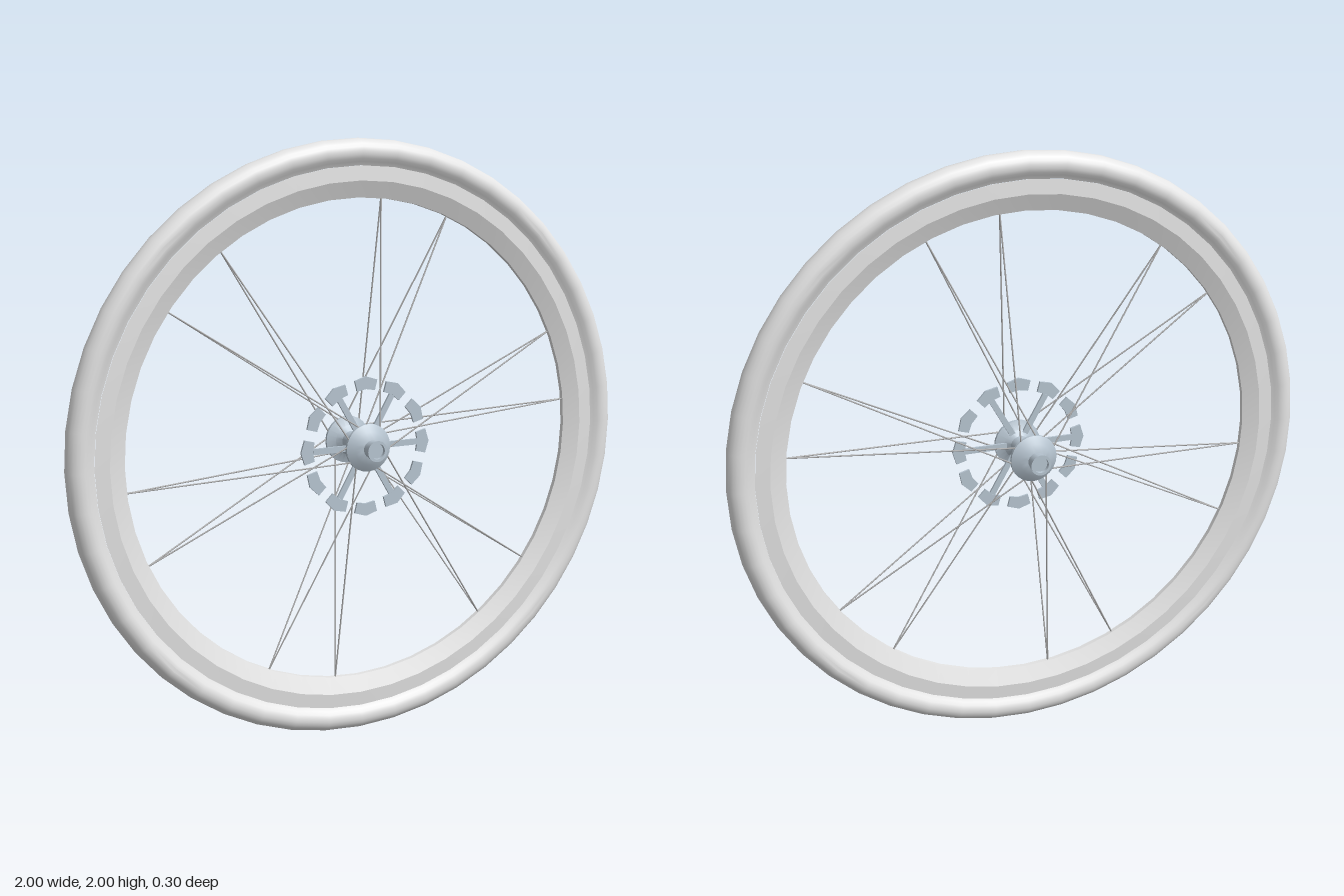
import * as THREE from 'three';
import { toCreasedNormals } from 'three/addons/utils/BufferGeometryUtils.js';

const mat = (name, color) => Object.assign(new THREE.MeshStandardMaterial({ color }), { name });

export function createModel() {
  const tyreGrey = mat('light grey', 0xe4e4e4);
  const hubMetal = mat('blue grey metal', 0xb8c6d2);
  const spokeSteel = mat('spoke steel', 0xb4b4b4);

  const wheel = new THREE.Group();
  wheel.name = 'wheel';
  wheel.position.y = 1;

  const add = (name, geometry, material, parent = wheel) => {
    const mesh = new THREE.Mesh(geometry, material);
    mesh.name = name;
    parent.add(mesh);
    return mesh;
  };
  // Profile of [radius, z] pairs turned around the z axis
  const turn = (points, segments, crease) => toCreasedNormals(
    new THREE.LatheGeometry(points.map(p => new THREE.Vector2(...p)), segments).rotateX(Math.PI / 2), crease);
  const polar = (r, degrees, z) => {
    const a = THREE.MathUtils.degToRad(degrees);
    return new THREE.Vector3(r * Math.cos(a), r * Math.sin(a), z);
  };

  // Tyre: rounded section open towards the rim
  const tyre = [];
  for (let i = 0; i <= 16; i++) {
    const a = THREE.MathUtils.degToRad(-135 + i * 270 / 16);
    tyre.push([0.957 + 0.043 * Math.cos(a), 0.043 * Math.sin(a)]);
  }
  tyre.unshift([0.914, -0.024]);
  tyre.push([0.914, 0.024]);
  add('tyre', turn(tyre, 48, 0.5), tyreGrey);

  // Rim: flat side walls and a tapered inner face with hard edges
  add('rim', turn([
    [0.914, 0.027], [0.866, 0.03], [0.811, 0.008],
    [0.811, -0.008], [0.866, -0.03], [0.914, -0.027],
  ], 48, 0.3), tyreGrey);

  // Hub: barrel, two flanges and hollow axle ends
  const half = [
    [0.034, 0.045], [0.05, 0.062], [0.08, 0.072], [0.08, 0.082], [0.055, 0.097],
    [0.037, 0.104], [0.029, 0.106], [0.035, 0.148], [0.026, 0.148], [0.026, 0.135], [0, 0.135],
  ];
  const mirrored = half.map(([r, z]) => [r, -z]).reverse();
  add('hub', turn([...mirrored, ...half], 24, 0.5), hubMetal);

  // Brake disc: six arms and a broken ring of twelve pads
  const disc = new THREE.Group();
  disc.name = 'brakeDisc';
  disc.position.z = 0.06;
  wheel.add(disc);
  const padShape = new THREE.Shape([
    [0.187, -0.032], [0.222, -0.041], [0.235, 0], [0.222, 0.041], [0.187, 0.032], [0.193, 0],
  ].map(p => new THREE.Vector2(...p)));
  const padGeometry = new THREE.ExtrudeGeometry(padShape, { depth: 0.008, bevelEnabled: false }).translate(0, 0, -0.004);
  const armGeometry = new THREE.BoxGeometry(0.16, 0.02, 0.008).translate(0.112, 0, 0);
  for (let i = 0; i < 12; i++) {
    const angle = i * Math.PI / 6;
    add('discPad', padGeometry, hubMetal, disc).rotation.z = angle;
    if (i % 2 === 0) add('discArm', armGeometry, hubMetal, disc).rotation.z = angle;
  }

  // Spokes: six crossed pairs on each flange, meeting at the rim
  const up = new THREE.Vector3(0, 1, 0);
  for (let k = 0; k < 6; k++) {
    for (const side of [-1, 1]) {
      for (const flange of [-1, 1]) {
        const middle = 15 + k * 60;
        const outer = polar(0.815, middle + side * 9, 0);
        const inner = polar(0.07, middle - side * 24, flange * 0.08);
        const along = outer.clone().sub(inner);
        const spoke = add('spoke', new THREE.CylinderGeometry(0.0026, 0.0026, along.length(), 6), spokeSteel);
        spoke.position.copy(inner).addScaledVector(along, 0.5);
        spoke.quaternion.setFromUnitVectors(up, along.normalize());
      }
    }
  }

  const model = new THREE.Group();
  model.name = 'spokedWheel';
  model.add(wheel);
  return model;
}
